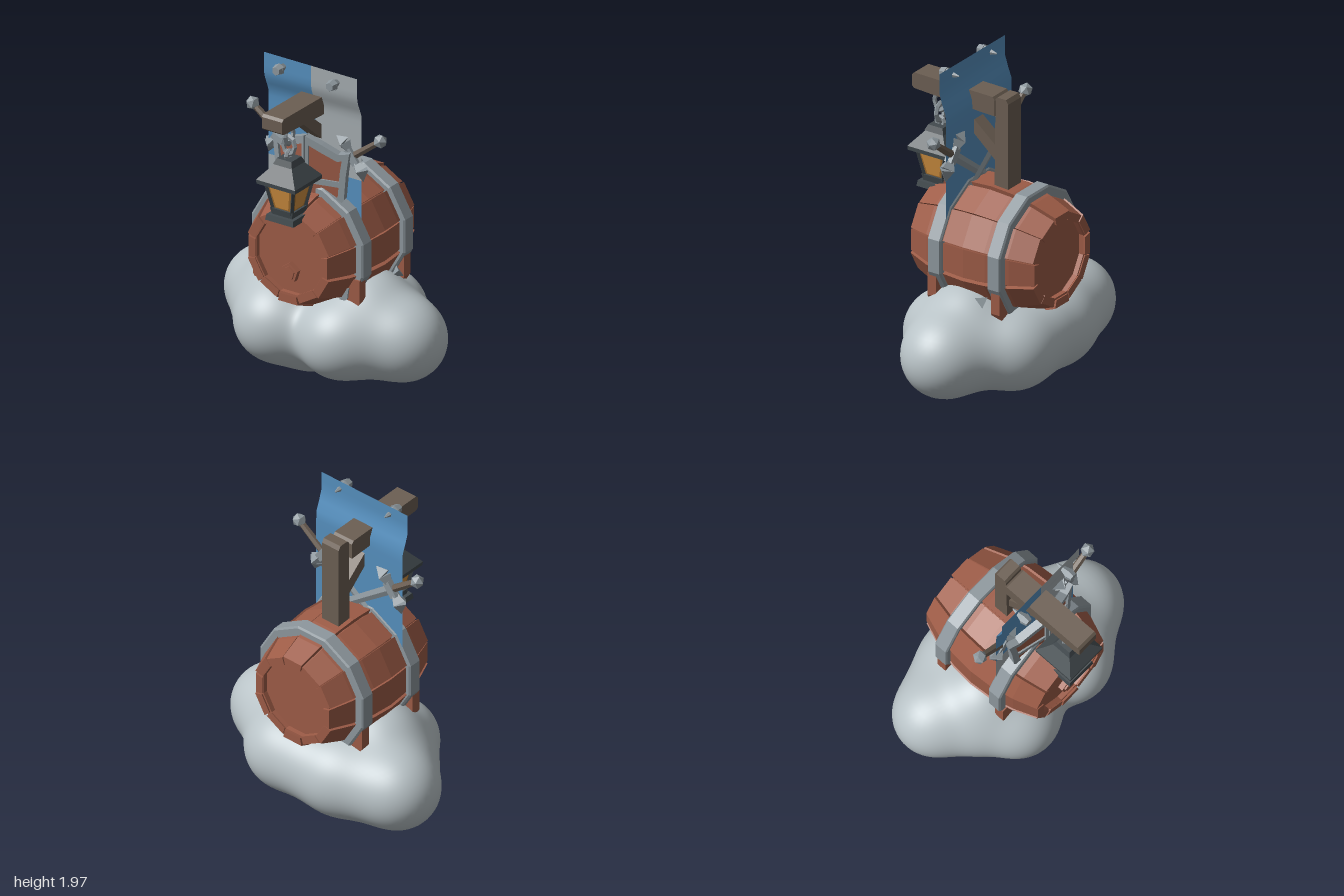
import * as THREE from 'three';
import { mergeVertices } from 'three/addons/utils/BufferGeometryUtils.js';

const mat = (name, color) => Object.assign(new THREE.MeshStandardMaterial({ color }), { name });
const V = (x, y, z) => new THREE.Vector3(x, y, z);

// faceted look: every face gets its own normal
function facet(geo) {
  const g = geo.index ? geo.toNonIndexed() : geo;
  g.computeVertexNormals();
  return g;
}

// move each vertex of a geometry by a rule
function warp(geo, rule) {
  const p = geo.attributes.position, v = V(0, 0, 0);
  for (let i = 0; i < p.count; i++) {
    rule(v.fromBufferAttribute(p, i));
    p.setXYZ(i, v.x, v.y, v.z);
  }
  return geo;
}

export function createModel() {
  const red = mat('barrel wood', 0x9e5c47), timber = mat('timber', 0x6c5f53);
  const steel = mat('steel', 0x8e989e), iron = mat('dark iron', 0x434b4f);
  const amber = mat('amber glass', 0xd69443), amberRim = mat('amber rim', 0xa5702f);
  const cloudGrey = mat('cloud', 0xb9c3c7);
  const blue = mat('banner blue', 0x5690bf), pale = mat('banner grey', 0xa5adb1);

  const model = new THREE.Group();
  model.name = 'barrelOnCloud';
  const group = (name, parent = model) => {
    const g = new THREE.Group();
    g.name = name;
    parent.add(g);
    return g;
  };
  const add = (parent, name, geo, material, x = 0, y = 0, z = 0) => {
    const m = new THREE.Mesh(geo, material);
    m.name = name;
    m.position.set(x, y, z);
    parent.add(m);
    return m;
  };
  // tapered rod between two points
  const rod = (parent, name, a, b, r0, r1, sides, material) => {
    const d = b.clone().sub(a);
    const m = add(parent, name, facet(new THREE.CylinderGeometry(r1, r0, d.length(), sides)), material);
    m.position.copy(a).addScaledVector(d, 0.5);
    m.quaternion.setFromUnitVectors(V(0, 1, 0), d.normalize());
    return m;
  };
  const shapeOf = pts => new THREE.Shape(pts.map(p => new THREE.Vector2(...p)));
  const extrude = (shape, depth) => facet(new THREE.ExtrudeGeometry(shape, { depth, bevelEnabled: false }).translate(0, 0, -depth / 2));
  // side profile given as (z, y), extruded across x
  const sidePrism = (pts, width) => extrude(shapeOf(pts), width).rotateY(-Math.PI / 2);

  // cloud: a sphere pushed out to a smooth union of puffs
  const puffs = [
    [-0.54, 0.36, -0.17, 0.235], [0.53, 0.36, -0.02, 0.24],
    [-0.2, 0.36, -0.275, 0.24], [0.2, 0.36, -0.28, 0.24],
    [-0.22, 0.36, 0.19, 0.235], [0.22, 0.36, 0.185, 0.23],
    [-0.38, 0.36, -0.24, 0.18], [0.38, 0.36, -0.15, 0.17],
    [0.36, 0.36, 0.09, 0.18], [-0.4, 0.36, 0.02, 0.19],
    [-0.28, 0.5, -0.02, 0.215], [0.28, 0.5, -0.02, 0.215],
    [-0.08, 0.3, 0, 0.265], [0, 0.38, -0.3, 0.2]];
  const k = 0.052;
  const field = p => -k * Math.log(puffs.reduce((s, [x, y, z, r]) =>
    s + Math.exp(-(Math.hypot(p.x - x, p.y - y, p.z - z) - r) / k), 0));
  const ball = new THREE.IcosahedronGeometry(1, 26);
  ball.deleteAttribute('uv');
  ball.deleteAttribute('normal');
  const cloud = warp(mergeVertices(ball, 1e-4), v => {
    const dir = v.clone().normalize(), c = V(0, 0.36, 0);
    let lo = 0, hi = 1;
    for (let i = 0; i < 22; i++) {
      const mid = (lo + hi) / 2;
      if (field(v.copy(c).addScaledVector(dir, mid)) < 0) lo = mid; else hi = mid;
    }
    v.y = Math.max(v.y, 0);
  });
  cloud.computeVertexNormals();
  add(model, 'cloud', cloud, cloudGrey);

  // barrel: twelve bulging staves lying along z
  const barrel = group('barrel');
  barrel.position.set(0, 0.885, 0);
  const zMid = -0.042, zHalf = 0.43;
  const bulge = t => 0.385 - 0.098 * t * t;
  for (let i = 0; i < 12; i++) {
    const lift = i % 2 ? -0.006 : 0.004, half = 0.236 + (i % 3) * 0.008;
    const stave = warp(new THREE.BoxGeometry(2, 1, 2, 1, 1, 6), v => {
      const r = bulge(v.z) + lift - (v.y < 0 ? 0.05 : 0);
      const a = i * Math.PI / 6 + v.x * half;
      v.set(Math.sin(a) * r, Math.cos(a) * r, zMid + v.z * (zHalf - (i % 3) * 0.003));
    });
    add(barrel, 'stave', facet(stave), red);
  }
  // core closes the gaps between staves and forms the recessed heads
  const belly = [-0.97, -0.6, -0.2, 0.2, 0.6, 0.97].map(t => [bulge(t) - 0.022, t * zHalf]);
  const core = [[0, -0.385], [0.236, -0.385], [0.236, -0.415], ...belly, [0.236, 0.415], [0.236, 0.385], [0, 0.385]];
  const lathe = pts => facet(new THREE.LatheGeometry(pts.map(p => new THREE.Vector2(...p)), 12, Math.PI / 12).rotateX(Math.PI / 2));
  add(barrel, 'barrelCore', lathe(core), red, 0, 0, zMid);
  add(barrel, 'bung', facet(new THREE.CylinderGeometry(0.06, 0.06, 0.05, 5).rotateX(Math.PI / 2)), red, 0, -0.1, 0.35).rotation.z = Math.PI;
  add(barrel, 'bungCap', facet(new THREE.CylinderGeometry(0.042, 0.042, 0.03, 5).rotateX(Math.PI / 2)), red, 0, -0.1, 0.37).rotation.z = Math.PI;
  const hoop = lathe([[0.34, -0.046], [0.388, -0.046], [0.4, -0.038], [0.4, 0.038], [0.388, 0.046], [0.34, 0.046]]);
  for (const z of [0.15, -0.262]) {
    add(barrel, 'hoop', hoop, steel, 0, 0, z);
    // pointed feet and steel shoes below each hoop
    for (const s of [-1, 1]) {
      const foot = group('foot', barrel);
      foot.scale.x = s;
      foot.position.z = z + (z > 0 ? 0.025 : -0.005);
      add(foot, 'footWedge', extrude(shapeOf([[0.27, -0.12], [0.28, -0.27], [0.34, -0.31], [0.37, -0.26], [0.37, -0.12]]), 0.06), red);
      add(foot, 'footShoe', extrude(shapeOf([[0.23, -0.2], [0.24, -0.29], [0.29, -0.25], [0.3, -0.18]]), 0.08), steel);
    }
  }
  // chips resting on the cloud
  add(model, 'woodChip', facet(new THREE.BoxGeometry(0.06, 0.04, 0.06)), timber, -0.4, 0.6, 0.08).rotation.set(0.3, 0.5, 0.4);
  add(model, 'steelChip', facet(new THREE.TetrahedronGeometry(0.045)), steel, 0.37, 0.68, -0.17);

  // gallows post, beam and brace
  const gallows = group('gallows');
  add(gallows, 'post', sidePrism([[-0.14, 1.2], [-0.045, 1.2], [-0.052, 1.8], [-0.065, 1.815], [-0.125, 1.815], [-0.14, 1.79]], 0.125), timber);
  add(gallows, 'beam', sidePrism([[-0.045, 1.69], [0.1, 1.695], [0.515, 1.717], [0.53, 1.73], [0.53, 1.8], [0.515, 1.815], [-0.03, 1.808], [-0.045, 1.79]], 0.14), timber, -0.01);
  add(gallows, 'brace', sidePrism([[-0.05, 1.395], [-0.05, 1.49], [0.2, 1.7], [0.31, 1.71]], 0.085), timber);

  // hanging lantern, built of square frusta (half widths)
  const lantern = group('lantern');
  lantern.position.z = 0.375;
  const frustum = (name, low, high, y0, y1, m) => add(lantern, name, facet(
    new THREE.CylinderGeometry(high * Math.SQRT2, low * Math.SQRT2, y1 - y0, 4).rotateY(Math.PI / 4)), m, 0, (y0 + y1) / 2);
  frustum('lanternFoot', 0.098, 0.092, 1.13, 1.165, iron);
  frustum('lanternBase', 0.07, 0.078, 1.165, 1.205, iron);
  frustum('lanternGlassRim', 0.064, 0.096, 1.2, 1.36, amberRim);
  frustum('lanternEave', 0.133, 0.135, 1.36, 1.385, iron);
  frustum('lanternRoof', 0.135, 0.06, 1.385, 1.475, iron);
  frustum('lanternCap', 0.066, 0.05, 1.475, 1.51, iron);
  const pane = warp(new THREE.PlaneGeometry(2, 0.135), v => {
    const slope = 0.08 + v.y * 0.2;
    v.set(v.x * (slope - 0.024), v.y + 1.28, slope + 0.003);
  });
  pane.computeVertexNormals();
  for (let i = 0; i < 4; i++) add(lantern, 'lanternPane', pane, amber).rotation.y = i * Math.PI / 2;
  for (const sx of [-1, 1]) for (const sz of [-1, 1]) {
    rod(lantern, 'lanternCorner', V(sx * 0.064, 1.19, sz * 0.064), V(sx * 0.098, 1.37, sz * 0.098), 0.013, 0.013, 4, iron);
  }
  // chain: oval links at right angles, hung from the beam
  const link = facet(new THREE.TorusGeometry(0.04, 0.014, 5, 8).scale(1.05, 1.35, 1));
  add(lantern, 'upperLink', link, steel, 0, 1.65).rotation.y = Math.PI / 2;
  add(lantern, 'lowerLink', link, steel, 0, 1.585);
  add(lantern, 'lanternEye', facet(new THREE.TorusGeometry(0.028, 0.013, 5, 8)), steel, 0, 1.525).rotation.y = Math.PI / 2;
  add(lantern, 'chainHook', facet(new THREE.BoxGeometry(0.04, 0.03, 0.04)), steel, 0, 1.71);

  // quartered banner, bent forward near its top
  const banner = group('banner');
  const bend = y => 0.113 + 0.045 * THREE.MathUtils.smoothstep(y, 1.73, 1.88);
  const cloth = (name, x0, x1, y0, y1, m, back) => {
    const g = new THREE.PlaneGeometry(x1 - x0, y1 - y0, 1, 16);
    if (back) g.rotateY(Math.PI);
    g.translate((x0 + x1) / 2, (y0 + y1) / 2, 0);
    warp(g, v => { v.z = bend(v.y) - (back ? 0.003 : 0); }).computeVertexNormals();
    add(banner, name, g, m);
  };
  cloth('upperRightQuarter', -0.325, 0, 1.345, 2, blue);
  cloth('upperLeftQuarter', 0, 0.32, 1.345, 2, pale);
  cloth('lowerRightQuarter', -0.325, 0, 1, 1.345, pale);
  cloth('lowerLeftQuarter', 0, 0.32, 1, 1.345, blue);
  cloth('bannerBack', -0.325, 0.32, 1, 2, blue, true);
  for (const x of [-0.188, 0.183]) {
    rod(banner, 'nailHead', V(x, 1.945, 0.2), V(x, 1.945, 0.24), 0.036, 0.026, 6, steel);
    rod(banner, 'nailSpike', V(x, 1.945, 0.21), V(x, 1.945, 0.115), 0.034, 0.004, 5, steel);
  }

  // shield: two mirrored halves folded back from the centre ridge
  const shield = group('shield');
  shield.position.z = 0.2;
  const outline = [[0, 1.04], [0.15, 1.11], [0.235, 1.22], [0.248, 1.38], [0.268, 1.515], [0.2, 1.5], [0.1, 1.545], [0, 1.585]];
  const inner = [[0.018, 1.09], [0.13, 1.15], [0.198, 1.235], [0.21, 1.385], [0.222, 1.465], [0.195, 1.455], [0.085, 1.5], [0.018, 1.53]];
  const frame = shapeOf(outline);
  frame.holes.push(new THREE.Path(inner.map(p => new THREE.Vector2(...p))));
  for (const s of [-1, 1]) {
    const side = group('shieldSide', shield);
    side.scale.x = s;
    const half = group('shieldHalf', side);
    half.rotation.y = 0.24;
    add(half, 'shieldFrame', extrude(frame, 0.05), steel);
    add(half, 'shieldPanel', extrude(shapeOf(inner), 0.02), red);
    add(half, 'shieldBar', facet(new THREE.BoxGeometry(0.2, 0.035, 0.04)), steel, 0.11, 1.31);
  }

  // crossed swords
  for (const s of [-1, 1]) {
    const sword = group('sword');
    sword.position.set(s * 0.445, 1.625, 0.103 + s * 0.005);
    sword.rotation.z = -s * 0.922;
    add(sword, 'pommel', facet(new THREE.IcosahedronGeometry(0.043)), steel);
    rod(sword, 'grip', V(0, -0.03, 0), V(0, -0.24, 0), 0.02, 0.025, 6, timber);
    add(sword, 'guard', facet(new THREE.BoxGeometry(0.1, 0.05, 0.05)), steel, 0, -0.235);
    // flared guard arms ending in spikes swept toward the blade
    for (const e of [-1, 1]) {
      rod(sword, 'guardArm', V(e * 0.03, -0.235, 0), V(e * 0.09, -0.235, 0), 0.022, 0.052, 4, steel);
      rod(sword, 'guardTip', V(e * 0.09, -0.235, 0), V(e * 0.155, -0.265, 0), 0.052, 0.002, 4, steel);
    }
    add(sword, 'blade', facet(new THREE.CylinderGeometry(0.03, 0.024, 0.6, 4).scale(1, 1, 0.4)), steel, 0, -0.55);
  }
  return model;
}
